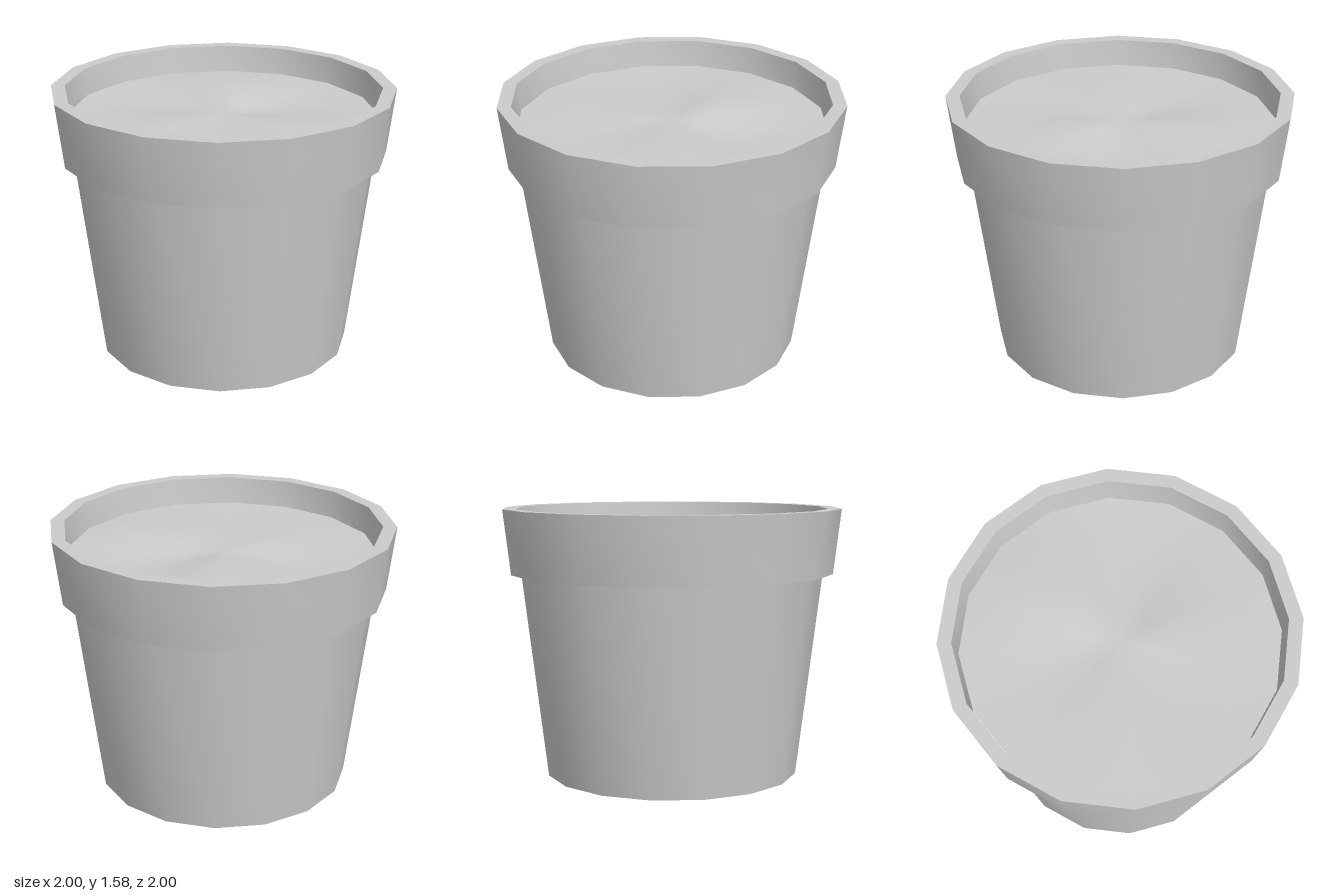
import * as THREE from 'three';
import { toCreasedNormals } from 'three/addons/utils/BufferGeometryUtils.js';

const SIDES = 16;
const SOIL_RADIUS = 0.9;
const SOIL_Y = 1.42;

const lathe = (points) =>
  new THREE.LatheGeometry(points.map(([r, y]) => new THREE.Vector2(r, y)), SIDES);

function addMesh(group, name, geometry, crease) {
  const material = new THREE.MeshStandardMaterial({ color: 0xcccccc });
  const mesh = new THREE.Mesh(toCreasedNormals(geometry, crease), material);
  mesh.name = name;
  group.add(mesh);
}

export function createModel() {
  const group = new THREE.Group();
  group.name = 'flowerPot';

  // Tapered body with a closed base
  addMesh(group, 'body', lathe([[0, 0], [0.75, 0], [0.895, 1.2]]), 0.7);

  // Overhanging rim: underside, outer band, lip and inner wall down to the soil
  addMesh(group, 'rim', lathe([
    [0.895, 1.2], [0.955, 1.2], [1, 1.58], [0.92, 1.58], [SOIL_RADIUS, SOIL_Y - 0.01],
  ]), 0.7);

  // Soil: a disc of rings, gently uneven inside and level at the wall
  const soil = lathe([0.9, 0.72, 0.54, 0.36, 0.18, 0].map((r) => [r, SOIL_Y]));
  const p = soil.attributes.position;
  for (let i = 0; i < p.count; i++) {
    const x = p.getX(i), z = p.getZ(i);
    const r = Math.min(Math.hypot(x, z) / SOIL_RADIUS, 1);
    const a = Math.atan2(z, x);
    const waves = Math.cos(3 * a + 0.6) + 0.6 * Math.cos(2 * a - 1.2);
    p.setY(i, SOIL_Y + 0.022 * Math.sin(Math.PI * r) * waves);
  }
  addMesh(group, 'soil', soil, 1.2);

  return group;
}
